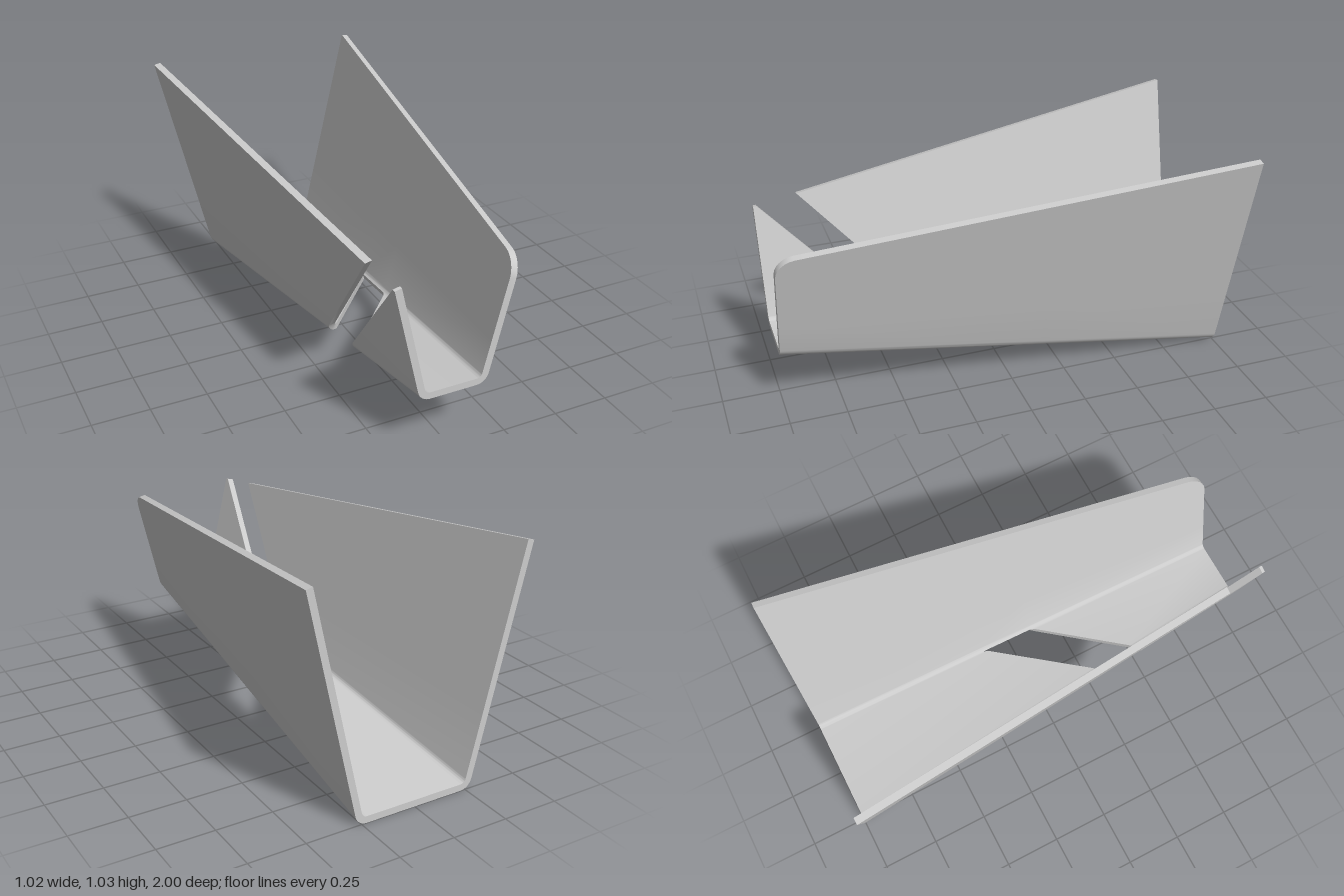
import * as THREE from 'three';
import { toCreasedNormals } from 'three/addons/utils/BufferGeometryUtils.js';

const THICK = 0.03, R = 0.055;            // sheet thickness, outer bend radius
const FLARE = 0.235;                      // outward lean of the walls
const TURN = Math.PI / 2 - Math.atan(FLARE);
const ARC = 8, SLOT_ARC = 2;              // bend segments, bend step where the slot ends

// Outer surface as linear functions of z
const floorY = z => 0.133 * (z + 1);
const rimY = z => 0.903 - 0.117 * z;
const wallX = (y, z) => 0.27 + FLARE * y - 0.093 * (z + 1);
const flatX = z => wallX(floorY(z), z) - R * Math.tan(TURN / 2);

// Stations across the sheet: at(z) is the outer point, n points to the inside
function wallStation(side, t, hi) {
  const at = z => {
    const y0 = floorY(z) + R * (1 - Math.cos(TURN));
    const y = y0 + t * (rimY(z) - y0);
    return [side * wallX(y, z), y];
  };
  return { kind: 'wall', hi, at, n: [-side * Math.sin(TURN), Math.cos(TURN)] };
}

function bendStation(side, f) {
  const a = f * TURN;
  return {
    kind: 'bend', f, hi: 1, n: [-side * Math.sin(a), Math.cos(a)],
    at: z => [side * (flatX(z) + R * Math.sin(a)), floorY(z) + R * (1 - Math.cos(a))],
  };
}

// One half of the profile, from the floor edge up to the rim
function halfProfile(side) {
  const list = [];
  for (let i = 0; i <= ARC; i++) list.push(bendStation(side, i / ARC));
  for (const t of [0, 0.3, 0.6]) list.push(wallStation(side, t, 1));
  list.splice(ARC, 1);                    // the wall foot replaces the last bend step
  for (let i = 0; i <= 6; i++) {          // rounded front corner near the rim
    const p = (i / 6) * Math.PI / 2;
    list.push(wallStation(side, 1 - 0.16 * (1 - Math.sin(p)), 1 - 0.08 * (1 - Math.cos(p))));
  }
  return list;
}

// z where a station meets the line z = z0 + k * (coordinate - v0)
function meet(station, axis, z0, k, v0) {
  const p = station.at(0)[axis], q = station.at(1)[axis] - p;
  return (z0 + k * (p - v0)) / (1 - k * q);
}

// Edge of the slot: one line on the floor, one on the right wall, blended in the bend
function slotEdge(right, floor, wall) {
  const foot = meet(right[ARC], 1, ...wall), edge = meet(right[0], 0, ...floor);
  return s => {
    if (s.kind === 'wall') return meet(s, 1, ...wall);
    if (s.kind === 'bend' && s.at(0)[0] < 0) return edge + (foot - edge) * s.f;
    return meet(s, 0, ...floor);
  };
}

// Solid strip of sheet between two z limits, with the chosen edge caps
function addStrip(out, stations, lo, hi, caps) {
  const quad = (a, b, c, d) => out.push(...a, ...b, ...c, ...a, ...c, ...d);
  const rows = stations.map(s => {
    const point = (z, depth) => {
      const [x, y] = s.at(z);
      return [x + s.n[0] * depth, y + s.n[1] * depth, z];
    };
    const a = lo(s), b = hi(s);
    return { ol: point(a, 0), oh: point(b, 0), il: point(a, THICK), ih: point(b, THICK) };
  });
  for (let i = 0; i + 1 < rows.length; i++) {
    const p = rows[i], q = rows[i + 1];
    quad(p.ol, q.ol, q.oh, p.oh);
    quad(p.il, p.ih, q.ih, q.il);
    if (caps.includes('hi')) quad(p.oh, q.oh, q.ih, p.ih);
    if (caps.includes('lo')) quad(p.ol, p.il, q.il, q.ol);
  }
  const f = rows[0], l = rows[rows.length - 1];
  if (caps.includes('first')) quad(f.ol, f.oh, f.ih, f.il);
  if (caps.includes('last')) quad(l.ol, l.il, l.ih, l.oh);
}

export function createModel() {
  const right = halfProfile(-1), left = halfProfile(1);
  const slotted = [...right].reverse().concat(left.slice(0, SLOT_ARC + 1));
  const whole = left.slice(SLOT_ARC);

  const rearEdge = slotEdge(right, [0.08, -1.21, 0], [0.81, 0.87, 0.81]);
  const frontEdge = slotEdge(right, [0.30, -1.18, 0], [0.975, 0.9, 0.775]);
  const seamRear = rearEdge(whole[0]), seamFront = frontEdge(whole[0]);
  const back = () => -1, front = () => 1;

  const out = [];
  // Floor and right wall, split by the slot
  addStrip(out, slotted, back, rearEdge, ['lo', 'hi', 'first']);
  addStrip(out, slotted, frontEdge, front, ['lo', 'hi', 'first']);
  // Uncut left wall, open to the slot only in the middle
  addStrip(out, whole, back, () => seamRear, ['lo', 'last']);
  addStrip(out, whole, () => seamRear, () => seamFront, ['first', 'last']);
  addStrip(out, whole, () => seamFront, s => s.hi, ['hi', 'last']);

  const geometry = new THREE.BufferGeometry();
  geometry.setAttribute('position', new THREE.Float32BufferAttribute(out, 3));
  const channel = new THREE.Mesh(
    toCreasedNormals(geometry, 0.5),
    new THREE.MeshStandardMaterial({ color: 0xcccccc }),
  );
  channel.name = 'slottedChannel';

  const group = new THREE.Group();
  group.name = 'foldedChute';
  group.add(channel);
  return group;
}
